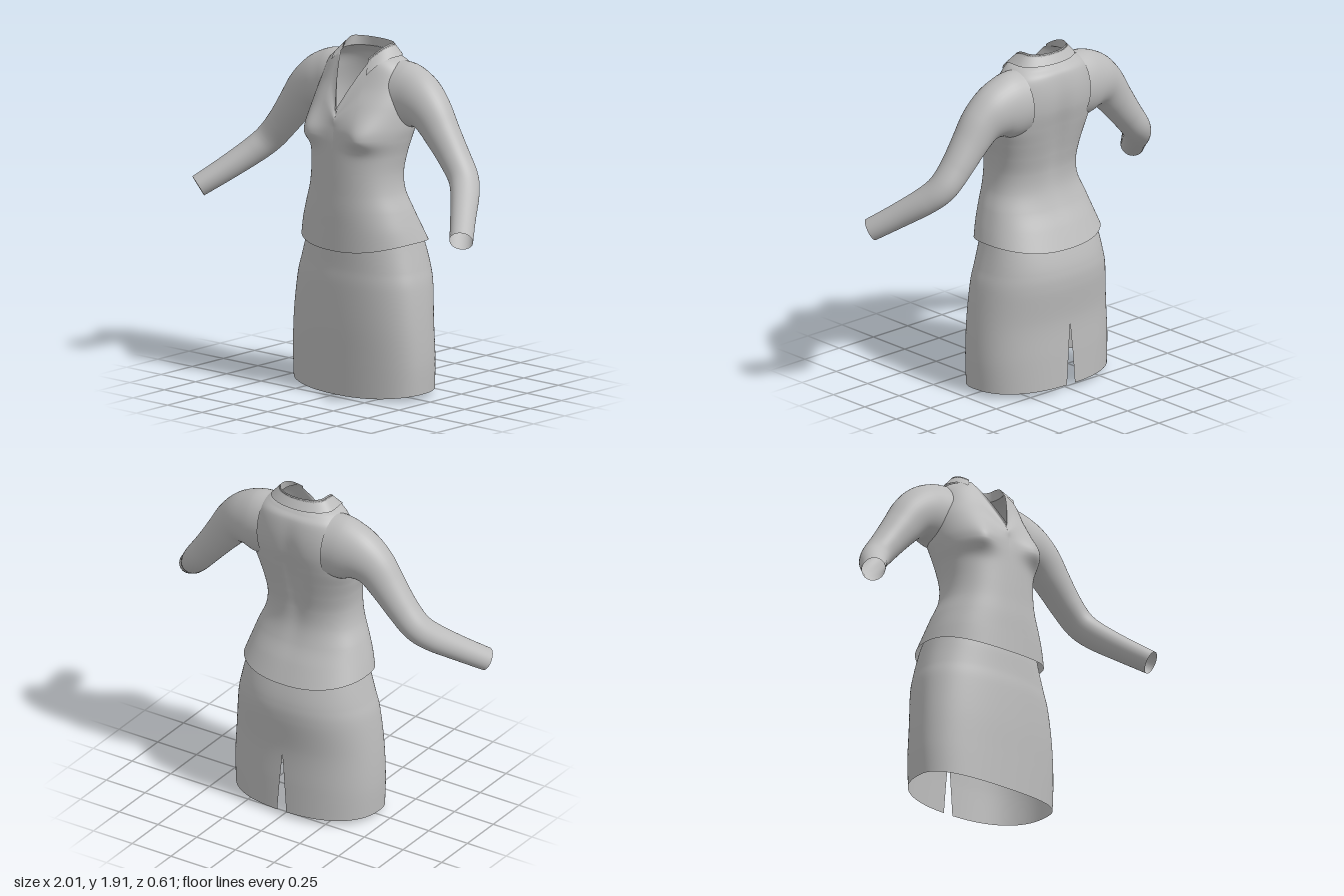
import * as THREE from 'three';
import { ParametricGeometry } from 'three/addons/geometries/ParametricGeometry.js';

const fabric = new THREE.MeshStandardMaterial({ color: 0xbcbcbc, side: THREE.DoubleSide });
fabric.name = 'grey fabric';

// Smooth interpolation through rows of numbers, t from 0 to 1
function sample(rows, t) {
  const s = Math.min(Math.max(t, 0), 1) * (rows.length - 1);
  const i = Math.min(Math.floor(s), rows.length - 2), f = s - i;
  const at = (k) => rows[Math.min(Math.max(k, 0), rows.length - 1)];
  const [a, b, c, d] = [at(i - 1), at(i), at(i + 1), at(i + 2)];
  return b.map((p, k) => {
    const m = (c[k] - a[k]) / 2, n = (d[k] - p) / 2, q = c[k];
    return p + f * m + f * f * (3 * (q - p) - 2 * m - n) + f * f * f * (2 * (p - q) + m + n);
  });
}

function surface(name, func, nu, nv) {
  const mesh = new THREE.Mesh(new ParametricGeometry(func, nu, nv), fabric);
  mesh.name = name;
  return mesh;
}

// Point on a body ring; angle 0 is the front, PI/2 the left side, PI the back
// Row: half width, front y z, side y z, back y z, depth of the V at the front
function ringPoint(rows, angle, v, target) {
  const [width, yF, zF, yS, zS, yB, zB, notch] = sample(rows, v);
  const s = Math.sin(angle), c = Math.cos(angle), a = Math.abs(c);
  const front = c > 0;
  const x = width * Math.sign(s) * Math.pow(Math.abs(s), 0.87);
  const drop = front ? notch * Math.pow(Math.max(0, 1 - Math.abs(x) / 0.115), 1.1) : 0;
  return target.set(
    x,
    yS + ((front ? yF : yB) - yS) * a * a - drop,
    zS + ((front ? zF : zB) - zS) * Math.pow(a, 0.86) + drop * 0.5);
}

const gauss = (d, w) => Math.exp(-(d * d) / (w * w));

const blouseRows = [
  [0.368, 0.80, 0.24, 0.85, -0.03, 0.81, -0.30, 0],
  [0.345, 0.92, 0.24, 0.93, -0.01, 0.92, -0.25, 0],
  [0.315, 1.02, 0.24, 1.02, 0, 1.02, -0.20, 0],
  [0.277, 1.12, 0.237, 1.12, 0.02, 1.12, -0.17, 0],
  [0.265, 1.22, 0.235, 1.22, 0.02, 1.22, -0.168, 0],
  [0.275, 1.32, 0.232, 1.32, 0, 1.32, -0.185, 0],
  [0.295, 1.41, 0.228, 1.41, -0.02, 1.41, -0.205, 0],
  [0.308, 1.48, 0.222, 1.49, -0.05, 1.50, -0.225, 0],
  [0.305, 1.60, 0.18, 1.60, -0.07, 1.60, -0.245, 0.08],
  [0.285, 1.70, 0.125, 1.70, -0.08, 1.70, -0.247, 0.16],
  [0.26, 1.79, 0.085, 1.78, -0.08, 1.79, -0.23, 0.23],
  [0.21, 1.82, 0.075, 1.83, -0.07, 1.825, -0.20, 0.255],
  [0.15, 1.84, 0.075, 1.855, -0.06, 1.85, -0.175, 0.27],
];

// Blouse body with bust, spine hollow and an open front seam
function blousePoint(u, v, p) {
  const angle = u * Math.PI * 2, c = Math.cos(angle);
  ringPoint(blouseRows, angle, v, p);
  if (c > 0) {
    const dy = p.y - 1.43;
    p.z += 0.058 * gauss(Math.abs(p.x) - 0.195, 0.09) * gauss(dy, dy > 0 ? 0.12 : 0.06);
  } else {
    p.z += 0.018 * gauss(p.x, 0.06) * gauss(p.y - 1.42, 0.28);
  }
}

const skirtRows = [
  [0.435, 0, 0.21, 0.03, 0, 0.03, -0.30, 0],
  [0.44, 0.2, 0.212, 0.2, 0, 0.2, -0.298, 0],
  [0.43, 0.4, 0.213, 0.4, 0, 0.4, -0.295, 0],
  [0.408, 0.6, 0.208, 0.6, -0.01, 0.6, -0.313, 0],
  [0.385, 0.7, 0.2, 0.7, -0.02, 0.7, -0.308, 0],
  [0.36, 0.8, 0.195, 0.8, -0.03, 0.8, -0.282, 0],
  [0.342, 0.87, 0.19, 0.87, -0.03, 0.87, -0.253, 0],
  [0.315, 0.96, 0.19, 0.96, -0.01, 0.96, -0.20, 0],
];

// Skirt, wrapped from the back seam so that the slit can open
function skirtPoint(u, v, p) {
  const y = sample(skirtRows, v)[3];
  const gap = 0.045 * Math.max(0, 1 - (y - 0.03) / 0.34);
  ringPoint(skirtRows, Math.PI + gap + u * (Math.PI * 2 - 2 * gap), v, p);
}

// Sleeve rows: centre x y z, radius across the arm, radius in depth
const sleeveRows = [
  [0.205, 1.645, -0.088, 0.183, 0.145],
  [0.28, 1.640, -0.088, 0.181, 0.137],
  [0.365, 1.622, -0.08, 0.154, 0.126],
  [0.45, 1.570, -0.07, 0.122, 0.110],
  [0.53, 1.475, -0.065, 0.102, 0.097],
  [0.62, 1.362, -0.06, 0.087, 0.088],
  [0.70, 1.267, -0.043, 0.079, 0.085],
  [0.765, 1.195, 0.015, 0.073, 0.08],
  [0.86, 1.097, 0.135, 0.066, 0.07],
  [0.954, 1.007, 0.253, 0.06, 0.065],
];

function sleevePoint(side) {
  const zAxis = new THREE.Vector3(0, 0, 1);
  return (u, v, p) => {
    const [x, y, z, rUp, rDeep] = sample(sleeveRows, v);
    const a = sample(sleeveRows, v - 0.04), b = sample(sleeveRows, v + 0.04);
    const along = new THREE.Vector3(b[0] - a[0], b[1] - a[1], b[2] - a[2]).normalize();
    const up = zAxis.clone().cross(along).normalize();
    const deep = along.clone().cross(up);
    const angle = side * u * Math.PI * 2;
    p.set(x, y, z)
      .addScaledVector(up, Math.cos(angle) * rUp)
      .addScaledVector(deep, Math.sin(angle) * rDeep);
    p.x *= side;
  };
}

// Collar: rises from the neckline to a fold, then turns down to a pointed edge
function collarPoint(u, v, p) {
  const angle = THREE.MathUtils.lerp(0.72, Math.PI * 2 - 0.92, u);
  const s = Math.sin(angle), c = Math.cos(angle), f = Math.max(0, c);
  const base = ringPoint(blouseRows, angle, 1, new THREE.Vector3());
  const fold = new THREE.Vector3(0.14 * s, 1.912 - 0.12 * f * f + (c < 0 ? 0.008 * c : 0),
    -0.09 + (c > 0 ? 0.18 : 0.075) * c);
  const edge = new THREE.Vector3(0.195 * s, 1.848 - 0.2 * f * f * f,
    -0.09 + (c > 0 ? 0.26 : 0.11) * c);
  if (v < 0.5) p.lerpVectors(base, fold, v * 2);
  else p.lerpVectors(fold, edge, v * 2 - 1);
}

export function createModel() {
  const model = new THREE.Group();
  model.name = 'blouse and skirt';
  model.add(
    surface('blouseBody', blousePoint, 120, 84),
    surface('skirt', skirtPoint, 96, 56),
    surface('leftSleeve', sleevePoint(1), 40, 54),
    surface('rightSleeve', sleevePoint(-1), 40, 54),
    surface('collar', collarPoint, 64, 8),
  );
  return model;
}
